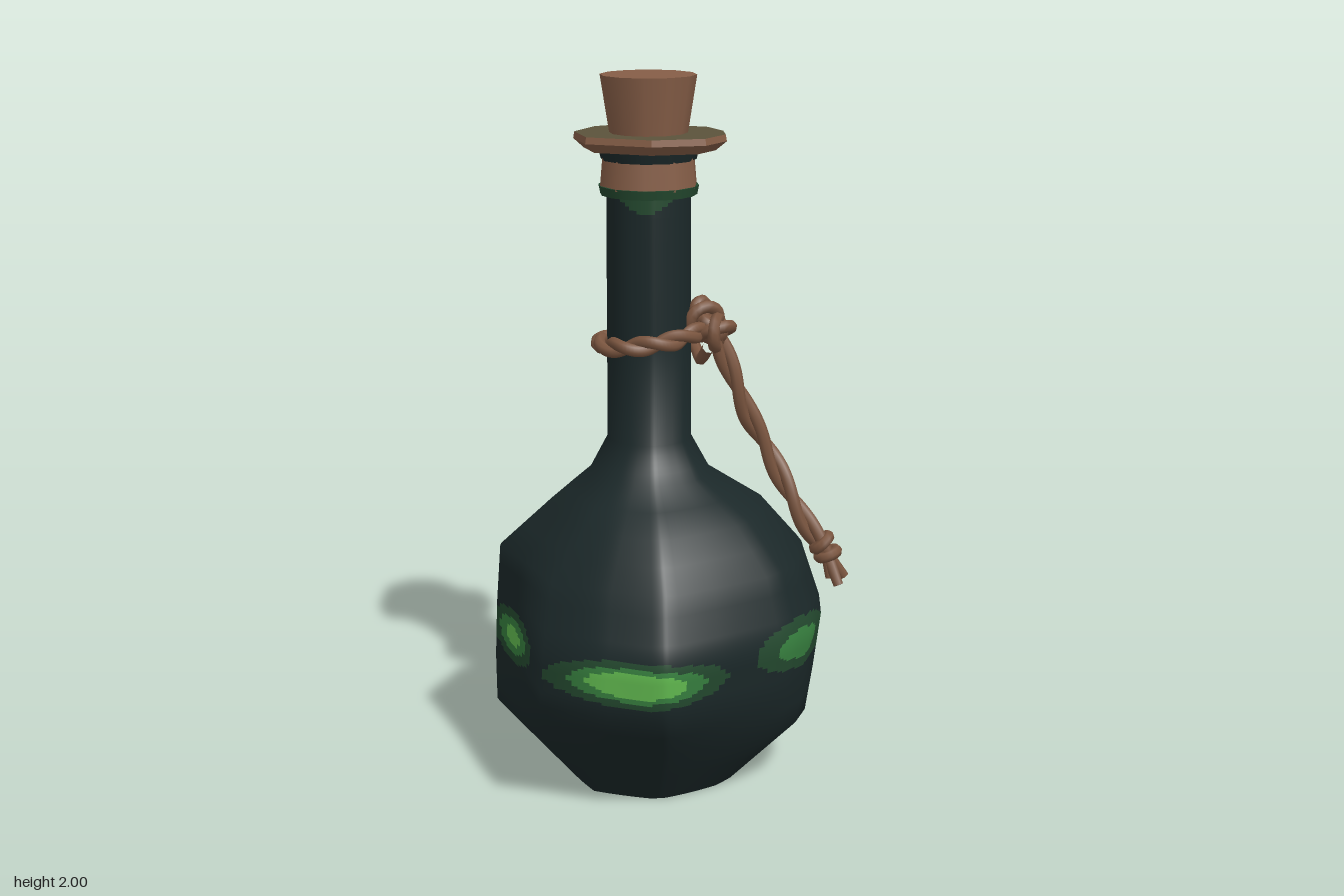
import * as THREE from 'three';
import { mergeGeometries } from 'three/addons/utils/BufferGeometryUtils.js';

const mat = (name, color) => {
  const m = new THREE.MeshStandardMaterial({ color });
  m.name = name;
  return m;
};
const AXIS = -0.063; // x of the bottle's neck axis

// Widest outline of the lopsided belly, [x, z], turning from +x towards +z
const BELLY = [[0.43, 0.05], [0.40, 0.18], [0.32, 0.29], [0.06, 0.48], [-0.02, 0.5], [-0.33, 0.42],
  [-0.51, 0.03], [-0.475, -0.28], [-0.38, -0.39], [-0.08, -0.5], [0.07, -0.47], [0.41, -0.16], [0.425, -0.1]];

// Height, reach towards +x, -x, +z, -z, roundness (1 = true circle),
// slimming of the two -x quarters: back, front
const RINGS = [
  [0, 0.255, 0.25, 0.24, 0.24, 0.3, 0, 0],
  [0.2, 0.45, 0.445, 0.385, 0.375, 0.1, 0.1, 0],
  [0.34, 0.47, 0.445, 0.485, 0.485, 0, 0.03, 0],
  [0.5, 0.49, 0.44, 0.5, 0.495, 0, 0.02, 0.03],
  [0.67, 0.435, 0.43, 0.42, 0.415, 0.1, 0.08, 0.07],
  [0.8, 0.325, 0.29, 0.33, 0.31, 0.3, 0.05, 0.06],
  [0.9, 0.17, 0.17, 0.18, 0.18, 0.7, 0, 0],
  [1.0, 0.117, 0.117, 0.115, 0.115, 1, 0, 0],
  [1.69, 0.115, 0.115, 0.115, 0.115, 1, 0, 0],
];

// Point on the glass: u runs along the belly outline, y is the height
function glassPoint(u, y) {
  const n = BELLY.length, w = (u + n) % n;
  const i = Math.floor(w), f = w - i;
  const A = BELLY[i], B = BELLY[(i + 1) % n];
  const dx = A[0] + (B[0] - A[0]) * f - AXIS, dz = A[1] + (B[1] - A[1]) * f;
  let k = 0;
  while (k < RINGS.length - 2 && y > RINGS[k + 1][0]) k++;
  const t = (y - RINGS[k][0]) / (RINGS[k + 1][0] - RINGS[k][0]);
  const R = RINGS[k].map((v, j) => v + (RINGS[k + 1][j] - v) * t);
  const rx = dx > 0 ? R[1] : R[2], rz = dz > 0 ? R[3] : R[4];
  const a = Math.atan2(dz, dx);
  const slim = dx < 0 ? 1 - (dz < 0 ? R[6] : R[7]) * Math.abs(Math.sin(2 * a)) : 1;
  const mix = THREE.MathUtils.lerp;
  return new THREE.Vector3(
    AXIS + slim * mix(dx * rx / (dx > 0 ? 0.493 : 0.447), Math.cos(a) * rx, R[5]),
    y,
    slim * mix(dz * rz / 0.5, Math.sin(a) * rz, R[5]),
  );
}
// Softened normal, averaged over the neighbouring facets
function glassNormal(u, y) {
  const up = glassPoint(u, y + 0.05).sub(glassPoint(u, y - 0.05));
  return up.cross(glassPoint(u + 0.6, y).sub(glassPoint(u - 0.6, y))).normalize();
}

// Glowing spots round the glass: angle in degrees, height, strength, width, tallness
const SPOTS = [[90, 0.44, 1.1, 26, 0.055], [25, 0.47, 0.69, 21, 0.07], [338, 0.43, 1, 24, 0.057],
  [270, 0.44, 1.05, 24, 0.057], [228, 0.5, 0.45, 26, 0.055], [196, 0.44, 1.05, 23, 0.057],
  [157, 0.45, 0.85, 20, 0.065], [225, 0.96, 0.31, 24, 0.057]];
function glowLevel({ x, y, z }) {
  const around = Math.atan2(z, x - AXIS);
  if (y > 1) return y > 1.665 - 0.025 * Math.cos(3 * around + 1.6) ? 1 : 0;
  const a = THREE.MathUtils.radToDeg(around);
  let g = z < 0.15 ? 0.33 * Math.exp(-(((y - 0.435) / 0.06) ** 2)) : 0;
  for (const [sa, sy, s, w, h] of SPOTS) {
    const d = ((a - sa + 540) % 360 + 360) % 360 - 180;
    g = Math.max(g, s * Math.exp(-((d / w) ** 2) - (((y - sy) / h) ** 2)));
  }
  return g > 0.71 ? 3 : g > 0.48 ? 2 : g > 0.24 ? 1 : 0;
}

function glassGeometry() {
  const step = 18, cols = BELLY.length * step;
  const rows = [0, 0.1, 0.2, 0.27, 0.34];
  for (let y = 0.35; y < 0.6; y += 0.0075) rows.push(y);
  rows.push(0.62, 0.67, 0.735, 0.8, 0.85, 0.9, 0.93, 0.945, 0.96, 0.975, 1, 1.3);
  for (let y = 1.63; y < 1.695; y += 0.01) rows.push(y);
  const pos = [], normal = [], lists = [[], [], [], []];
  for (const y of rows) {
    for (let c = 0; c < cols; c++) {
      pos.push(...glassPoint(c / step, y));
      normal.push(...glassNormal(c / step, y));
    }
  }
  for (let r = 0; r < rows.length - 1; r++) {
    for (let c = 0; c < cols; c++) {
      const d = (c + 1) % cols;
      const p = glassPoint((c + 0.5) / step, (rows[r] + rows[r + 1]) / 2);
      const a = r * cols + c, b = a + cols, e = r * cols + d, f = e + cols;
      lists[glowLevel(p)].push(a, b, e, e, b, f);
    }
  }
  // Flat base
  const centre = pos.length / 3;
  pos.push(AXIS, 0, 0);
  normal.push(0, -1, 0);
  for (let c = 0; c < cols; c++) lists[0].push(centre, c, (c + 1) % cols);
  const g = new THREE.BufferGeometry();
  g.setAttribute('position', new THREE.Float32BufferAttribute(pos, 3));
  g.setAttribute('normal', new THREE.Float32BufferAttribute(normal, 3));
  g.setIndex(lists.flat());
  let at = 0;
  lists.forEach((l, i) => { g.addGroup(at, l.length, i); at += l.length; });
  return g;
}

// Two strands wound round each other along a curve
function twistedRope(curve, turns, r, gap, closed = false) {
  const N = 72, frames = curve.computeFrenetFrames(N, closed);
  const strands = [0, Math.PI].map((phase) => {
    const pts = [];
    for (let i = 0; i <= N - (closed ? 1 : 0); i++) {
      const a = phase + turns * 2 * Math.PI * i / N;
      pts.push(curve.getPointAt(i / N)
        .addScaledVector(frames.normals[i], Math.cos(a) * gap)
        .addScaledVector(frames.binormals[i], Math.sin(a) * gap));
    }
    return new THREE.TubeGeometry(new THREE.CatmullRomCurve3(pts, closed), 110, r, 7, closed);
  });
  return mergeGeometries(strands);
}
const path = (pts, closed = false) => new THREE.CatmullRomCurve3(pts.map((p) => new THREE.Vector3(...p)), closed);

export function createModel() {
  const group = new THREE.Group();
  const glass = mat('dark glass', 0x1b2829);
  const dim = mat('dim green', 0x24492f);
  const mid = mat('mid green', 0x37803f);
  const bright = mat('bright green', 0x62bb50);
  const cork = mat('cork', 0x865e47);
  const olive = mat('olive rim', 0x5b533b);
  const rope = mat('rope', 0x7a553f);
  const add = (name, geo, m, x = 0, y = 0, z = 0) => {
    const mesh = new THREE.Mesh(geo, m);
    mesh.name = name;
    mesh.position.set(x, y, z);
    group.add(mesh);
    return mesh;
  };

  add('glassBottle', glassGeometry(), [glass, dim, mid, bright]);

  // Neck collar
  const band = (name, top, bottom, y0, y1, m, sides) => add(name,
    new THREE.CylinderGeometry(top, bottom, y1 - y0, sides), m, AXIS, (y0 + y1) / 2, 0);
  band('glassLip', 0.137, 0.132, 1.68, 1.705, dim, 16);
  band('collarBand', 0.128, 0.135, 1.7, 1.78, cork, 10);
  band('collarTop', 0.138, 0.13, 1.775, 1.805, glass, 12);

  // Uneven flared rim: olive top, cork edge, green underside
  const rim = [[0.15, 0.04], [0.1, 0.14], [-0.04, 0.185], [-0.22, 0.13], [-0.267, 0],
    [-0.225, -0.12], [-0.13, -0.19], [0.09, -0.13], [0.14, -0.04]];
  const levels = [[0.55, 1.798], [0.86, 1.803], [1, 1.828], [0.985, 1.846]];
  const loop = ([s, y]) => rim.map(([x, z]) => [AXIS + (x - AXIS) * s, y, z * s]);
  // Group 0 is the front half of the rim, group 1 the back half
  const loft = (lower, upper) => {
    const A = loop(lower), B = loop(upper), v = [];
    A.forEach((a, i) => {
      const j = (i + 1) % A.length;
      v.push(...a, ...B[i], ...A[j], ...A[j], ...B[i], ...B[j]);
    });
    const g = new THREE.BufferGeometry();
    g.setAttribute('position', new THREE.Float32BufferAttribute(v, 3));
    g.addGroup(0, 24, 0);
    g.addGroup(24, 30, 1);
    g.computeVertexNormals();
    return g;
  };
  add('rimUnderside', loft(levels[0], levels[1]), [dim, dim]);
  add('rimFlare', loft(levels[1], levels[2]), [cork, dim]);
  add('rimEdge', loft(levels[2], levels[3]), [cork, olive]);
  add('rimTop', loft(levels[3], [0.02, 1.846]), [olive, olive]);

  // Stopper
  add('corkStopper', new THREE.CylinderGeometry(0.131, 0.105, 0.165, 12), cork, AXIS, 1.9175, 0);

  // Rope loop round the neck, lifted on its back left side
  const ring = [];
  for (let i = 0; i < 12; i++) {
    const a = i * Math.PI / 6, lift = i > 6 ? 0.015 * Math.sin(2 * a) : 0;
    ring.push([AXIS + 0.003 + 0.138 * Math.cos(a), 1.287 + 0.02 * Math.cos(a) - lift, 0.137 * Math.sin(a)]);
  }
  add('ropeLoop', twistedRope(path(ring, true), 5, 0.017, 0.012, true), rope);
  add('looseEnd', new THREE.TubeGeometry(path([[0, 1.3, -0.145], [0.04, 1.255, -0.135], [0.066, 1.22, -0.09], [0.078, 1.21, -0.045],
    [0.1, 1.25, -0.01]]), 20, 0.017, 7), rope);

  // Knot at the neck: a few crossing coils
  [[0.09, 1.33, 0.01, 0.045, 0.3, 0.5], [0.12, 1.3, 0, 0.045, 1.2, 0.3], [0.125, 1.3, 0.015, 0.04, 0.2, 1.4],
    [0.1, 1.3, -0.02, 0.045, 0.9, -0.8], [0.08, 1.36, 0, 0.024, 0, 0.9]].forEach(([x, y, z, r, rx, ry]) => {
    add('neckKnotCoil', new THREE.TorusGeometry(r, 0.018, 7, 18), rope, x, y, z).rotation.set(rx, ry, 0.4);
  });
  add('knotCore', new THREE.IcosahedronGeometry(0.045, 1), rope, 0.115, 1.305, 0);

  // Hanging cord with end knot and frayed tips
  const cord = path([[0.12, 1.3, 0], [0.16, 1.2, 0.005], [0.21, 1.07, -0.01], [0.26, 0.975, -0.025], [0.315, 0.865, -0.02], [0.385, 0.74, -0.01], [0.445, 0.655, -0.01]]);
  add('hangingCord', twistedRope(cord, 2, 0.018, 0.014), rope);
  [[0.425, 0.69], [0.443, 0.657]].forEach(([x, y], i) => {
    const k = add('endKnotCoil', new THREE.TorusGeometry(0.026, 0.017, 7, 16), rope, x, y, -0.01);
    k.rotation.set(Math.PI / 2, (i ? 0.35 : 0.75), 0);
  });
  [[0.492, 0.59, -0.01], [0.475, 0.575, 0.025], [0.452, 0.588, 0], [0.478, 0.585, -0.045]].forEach((tip) => {
    const a = new THREE.Vector3(0.44, 0.66, -0.01), b = new THREE.Vector3(...tip);
    const strand = add('frayedTip', new THREE.CylinderGeometry(0.014, 0.017, a.distanceTo(b), 6), rope);
    strand.position.copy(a).lerp(b, 0.5);
    strand.quaternion.setFromUnitVectors(new THREE.Vector3(0, 1, 0), b.clone().sub(a).normalize());
  });
  return group;
}
